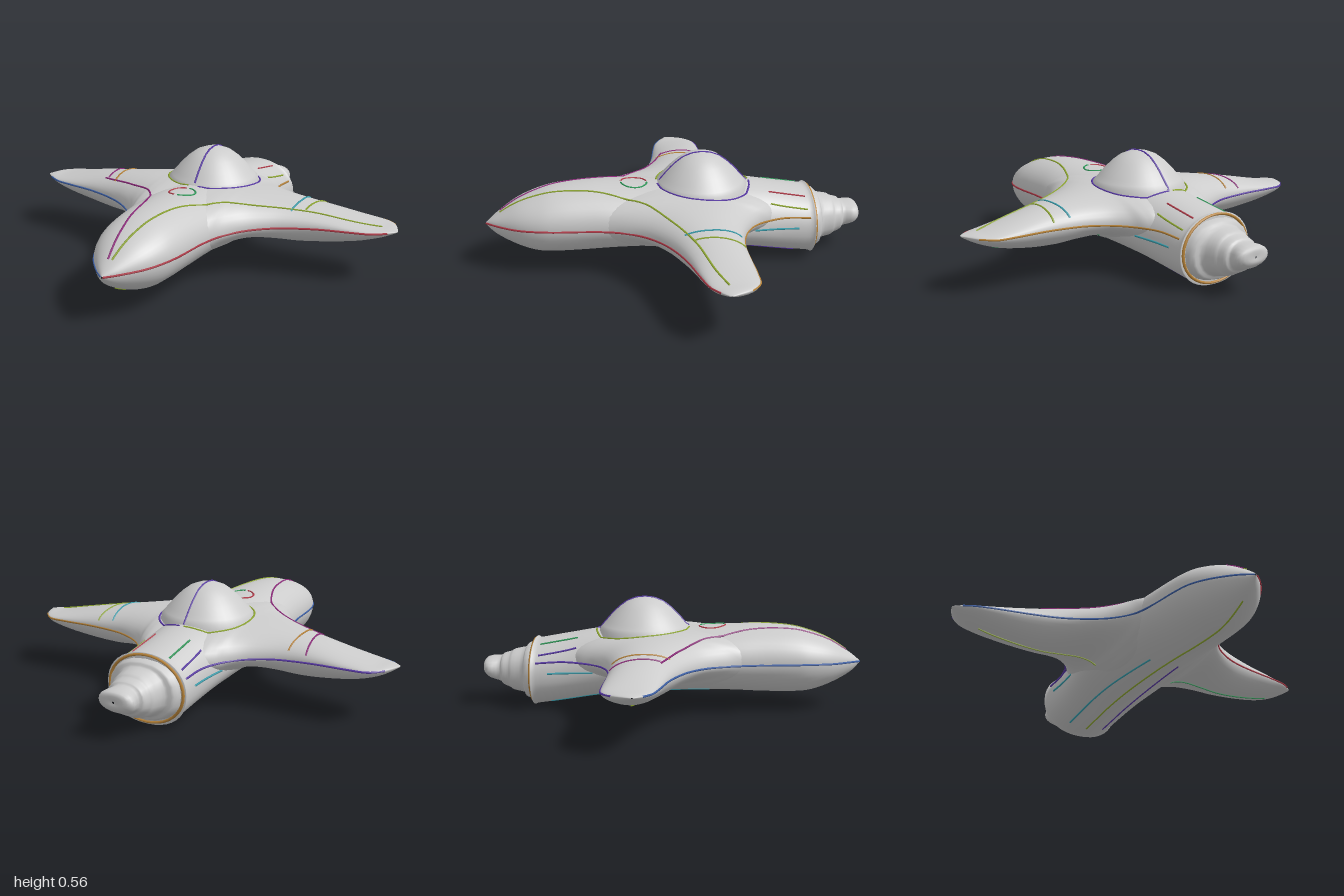
import * as THREE from 'three';

const GREY = new THREE.MeshStandardMaterial({ color: 0xcccccc });
const C = { magenta: 0x8e2a7c, lime: 0x8fa832, blue: 0x3f62a8, red: 0xb03a48, orange: 0xb8843a,
  purple: 0x5a3aa8, cyan: 0x3a9fae, green: 0x2f9a5a };

// Loft through rows [position, sideMin, sideMax, yBottom, yWidest, yTop, keelSharpness] along z or x
function loft(name, rows, axis, power = 1, steps = 5, around = 40) {
  const pos = [], index = [], n = (rows.length - 1) * steps;
  const cr = (a, b, c, d, t) => {
    const m0 = (c - a) / 2, m1 = (d - b) / 2, t2 = t * t, t3 = t2 * t;
    return b * (2 * t3 - 3 * t2 + 1) + m0 * (t3 - 2 * t2 + t) + c * (3 * t2 - 2 * t3) + m1 * (t3 - t2);
  };
  const row = i => rows[Math.max(0, Math.min(rows.length - 1, i))];
  const sp = (v, e) => Math.sign(v) * Math.abs(v) ** e;
  for (let i = 0; i <= n; i++) {
    const k = Math.min(Math.floor(i / steps), rows.length - 2), t = i / steps - k;
    const [p, lo, hi, yb, ym, yt, keel] = row(k).map((b, q) => cr(row(k - 1)[q], b, row(k + 1)[q], row(k + 2)[q], t));
    for (let j = 0; j < around; j++) {
      const a = j / around * Math.PI * 2, e = Math.sin(a) > 0 ? power : keel;
      const c = sp(Math.cos(a), e), s = sp(Math.sin(a), e);
      const side = (lo + hi) / 2 + c * (hi - lo) / 2;
      const y = ym + s * (s > 0 ? yt - ym : ym - yb);
      pos.push(...(axis === 'z' ? [side, y, p] : [p, y, side]));
      if (i < n) {
        const j2 = (j + 1) % around, A = i * around + j, B = i * around + j2, D = A + around, E = B + around;
        index.push(...(axis === 'z' ? [A, B, D, B, E, D] : [A, D, B, B, D, E]));
      }
    }
  }
  const g = new THREE.BufferGeometry();
  g.setAttribute('position', new THREE.Float32BufferAttribute(pos, 3));
  g.setIndex(index);
  g.computeVertexNormals();
  const mesh = new THREE.Mesh(g, GREY);
  mesh.name = name;
  return mesh;
}

export function createModel() {
  const model = new THREE.Group();

  // Fuselage: [z, half width, bottom, widest height, top, keel], tail ring to nose
  const bodyRows = [
    [-0.69, 0.01, 0.15, 0.17, 0.18, 0.9], [-0.69, 0.2, 0.01, 0.17, 0.33, 0.9], [-0.66, 0.205, 0.005, 0.17, 0.335, 0.9],
    [-0.5, 0.205, 0.03, 0.18, 0.365, 0.92], [-0.35, 0.22, 0.055, 0.2, 0.39, 0.97], [-0.15, 0.25, 0.075, 0.23, 0.405, 1.05],
    [0.1, 0.25, 0.085, 0.24, 0.405, 1.1], [0.3, 0.235, 0.085, 0.25, 0.415, 1.1], [0.45, 0.217, 0.08, 0.25, 0.42, 1.08],
    [0.6, 0.202, 0.08, 0.25, 0.41, 1.05], [0.7, 0.183, 0.09, 0.25, 0.385, 1], [0.8, 0.138, 0.125, 0.245, 0.345, 1],
    [0.9, 0.06, 0.18, 0.24, 0.28, 1], [0.95, 0.004, 0.23, 0.235, 0.24, 1],
  ];
  const body = loft('fuselage', bodyRows.map(([z, w, ...y]) => [z, -w, w, ...y]), 'z', 0.95);

  // Wings: [x, back z, front z, bottom, widest height, top], mirrored through the body
  const half = [
    [0.12, -0.5, 0.5, 0.11, 0.25, 0.4], [0.2, -0.45, 0.42, 0.135, 0.25, 0.395],
    [0.25, -0.38, 0.31, 0.16, 0.25, 0.39], [0.32, -0.32, 0.205, 0.17, 0.255, 0.383],
    [0.42, -0.275, 0.125, 0.162, 0.26, 0.37], [0.52, -0.255, 0.075, 0.155, 0.262, 0.355],
    [0.65, -0.25, 0.035, 0.165, 0.265, 0.333], [0.8, -0.25, 0.005, 0.19, 0.265, 0.303],
    [0.9, -0.24, -0.02, 0.22, 0.265, 0.285], [0.96, -0.19, -0.055, 0.245, 0.268, 0.28],
    [1, -0.1, -0.09, 0.268, 0.27, 0.272],
  ].map(r => [...r, 1.1]);
  const wings = loft('wings', [...half.map(([x, ...r]) => [-x, ...r]).reverse(), ...half], 'x', 0.97);

  // Stepped tail nozzle: [z, half width, half height, centre height]
  const nozzleRows = [
    [-0.95, 0.005, 0.005, 0.185], [-0.95, 0.07, 0.035, 0.19], [-0.92, 0.095, 0.055, 0.182], [-0.87, 0.08, 0.067, 0.175],
    [-0.855, 0.1, 0.08, 0.173], [-0.82, 0.108, 0.093, 0.17], [-0.8, 0.118, 0.105, 0.17],
    [-0.74, 0.135, 0.118, 0.17], [-0.725, 0.175, 0.138, 0.17], [-0.67, 0.195, 0.15, 0.168],
  ].map(([z, w, h, y]) => [z, -w, w, y - h, y, y + h, 0.9]);
  const nozzle = loft('tailNozzle', nozzleRows, 'z', 0.9, 3, 20);

  // Rounded canopy sitting in a low collar
  const profile = [[0.235, 0.36], [0.228, 0.395], [0.212, 0.412], [0.192, 0.435], [0.168, 0.463],
    [0.13, 0.5], [0.09, 0.53], [0.045, 0.547], [0, 0.552]].map(p => new THREE.Vector2(...p));
  const canopy = new THREE.Mesh(new THREE.LatheGeometry(profile, 40), GREY);
  canopy.name = 'canopy';
  canopy.position.z = -0.13;
  model.add(body, wings, nozzle, canopy);
  model.updateMatrixWorld(true);

  // Thin coloured line through points in space
  const line = (name, color, points) => {
    const curve = new THREE.CatmullRomCurve3(points);
    const mesh = new THREE.Mesh(new THREE.TubeGeometry(curve, 48, 0.005, 5),
      new THREE.MeshStandardMaterial({ color }));
    mesh.name = name;
    model.add(mesh);
  };
  // The same line laid on the skin, dropped from above or raised from below
  const solids = [body, wings, canopy], ray = new THREE.Raycaster();
  const trim = (name, color, pts, below = false) => {
    const flat = new THREE.CatmullRomCurve3(pts.map(([x, z]) => new THREE.Vector3(x, 0, z)));
    const laid = [];
    for (const p of flat.getSpacedPoints(24)) {
      ray.set(new THREE.Vector3(p.x, below ? -1 : 2, p.z), new THREE.Vector3(0, below ? 1 : -1, 0));
      const hit = ray.intersectObjects(solids)[0];
      if (hit) laid.push(hit.point);
    }
    line(name, color, laid);
  };
  const arc = (r, z0, a0, a1) => Array.from({ length: 13 }, (_, i) => {
    const a = a0 + (a1 - a0) * i / 12;
    return [r * Math.sin(a), z0 + r * Math.cos(a)];
  });

  // Outline paths taken from the hull's widest points
  const wingRows = half.slice(2, -1);
  const frontEdge = [
    ...bodyRows.filter(r => r[0] >= 0.45).reverse().map(([z, w, , y]) => [w, y, z]),
    ...wingRows.map(([x, , z, , y]) => [x, y, z]),
  ];
  const backEdge = [[0.195, 0.24, -0.66], [0.2, 0.25, -0.52], ...wingRows.map(([x, z, , , y]) => [x, y, z])];

  for (const s of [1, -1]) {
    const L = s > 0, m = pts => pts.map(([x, z]) => [x * s, z]);
    const m3 = pts => pts.map(([x, y, z]) => new THREE.Vector3(x * s, y, z));
    // Lines along the hull's edges and the tail's flank
    line('edgeLine', L ? C.red : C.blue, m3(frontEdge));
    line('trailingLine', L ? C.orange : C.purple, m3(backEdge));
    line('tailSideStripe', C.cyan, m3([[0.205, 0.19, -0.6], [0.206, 0.195, -0.5], [0.217, 0.2, -0.37]]));
    // Shoulder lines sweeping from nose to wing
    trim('shoulderLine', L ? C.lime : C.magenta, m([[0.01, 0.88], [0.055, 0.6], [0.1, 0.38], [0.2, 0.19],
      [0.38, 0.07], [0.58, -0.01], ...(L ? [[0.8, -0.06], [0.92, -0.1]] : [])]));
    // Bands across the wing
    trim('innerWingBand', L ? C.cyan : C.orange, m([[0.5, -0.24], [0.51, -0.1], [0.5, 0.03]]));
    trim('outerWingBand', L ? C.lime : C.magenta, m([[0.59, -0.24], [0.57, -0.1], [0.56, -0.01]]));
    // Rear deck stripes, canopy ring and nose roundel halves
    trim('outerDeckStripe', L ? C.lime : C.purple, m([[0.165, -0.65], [0.155, -0.46]]));
    trim('innerDeckStripe', L ? C.red : C.green, m([[0.1, -0.65], [0.095, -0.46]]));
    trim('canopyRing', L ? C.purple : C.lime, m(arc(0.235, -0.14, 0.1, 3.1)));
    trim('noseRoundel', L ? C.green : C.red, m(arc(0.065, 0.21, 0.1, 3.04)));
    // Underside lines
    trim('bellyLine', L ? C.purple : C.cyan, m([[0.1, -0.6], [0.1, -0.2], [0.08, 0.2]]), true);
    trim('underWingLine', L ? C.green : C.lime, m([[0.22, -0.1], [0.5, -0.1], [0.85, -0.12]]), true);
  }
  trim('canopySpine', C.purple, [[0, -0.36], [0, -0.13], [0, 0.08]]);
  trim('keelLine', C.lime, [[0, 0.85], [0, 0.3], [0, -0.6]], true);

  // Raised ring around the tail
  const ring = new THREE.Mesh(new THREE.TorusGeometry(0.2, 0.008, 6, 40),
    new THREE.MeshStandardMaterial({ color: C.orange }));
  ring.name = 'tailRing';
  ring.scale.y = 0.81;
  ring.position.set(0, 0.17, -0.69);
  model.add(ring);

  return model;
}
